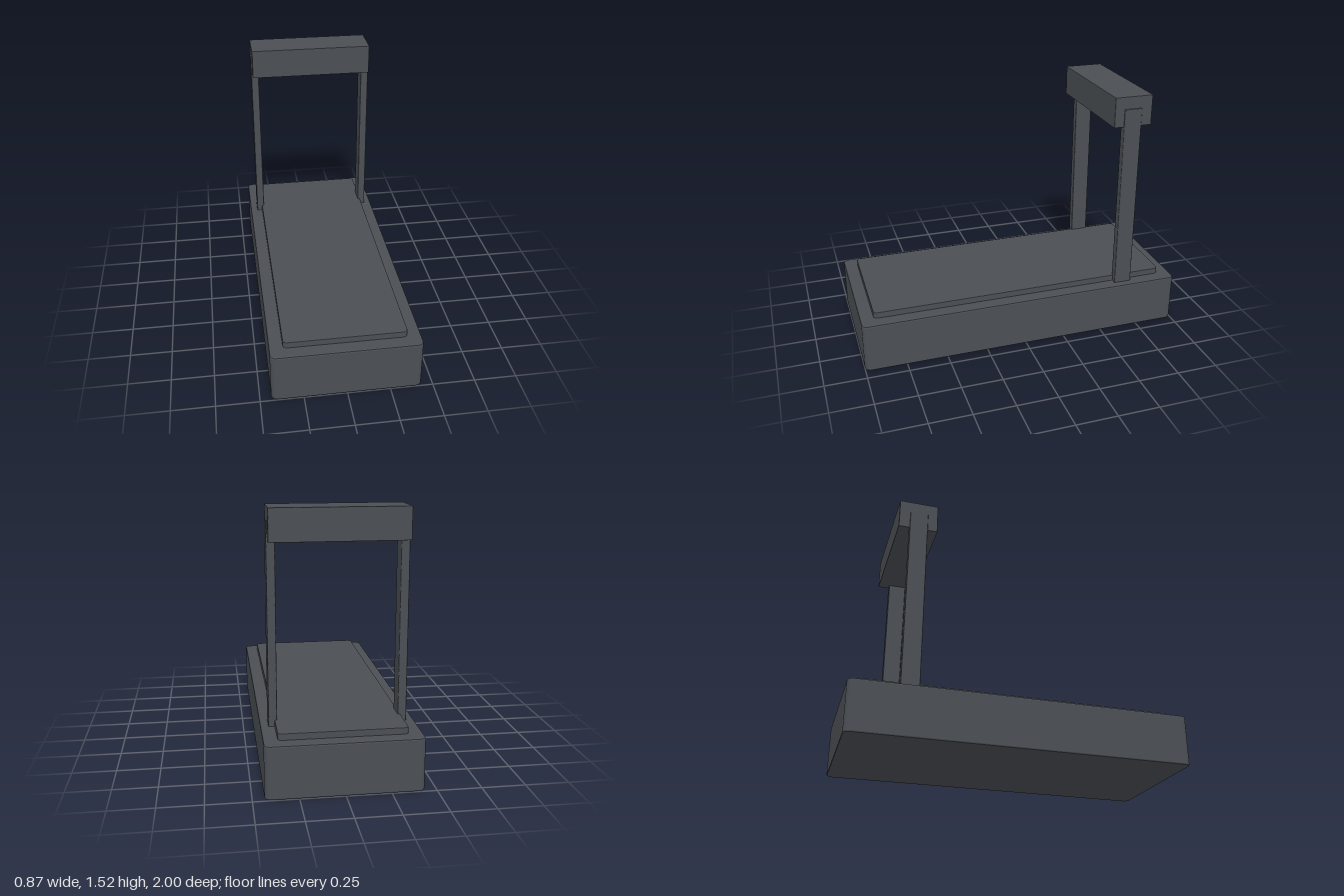
import * as THREE from 'three';

const charcoal = new THREE.MeshStandardMaterial({ color: 0x4b4f54 });
charcoal.name = 'charcoal';

// Upright slab with rounded vertical corners and a small bevel on its top and bottom rims
function slab(name, width, depth, y0, y1, radius, bevel) {
  const w = width / 2 - bevel, d = depth / 2 - bevel, r = radius - bevel;
  const shape = new THREE.Shape();
  shape.moveTo(-w + r, -d);
  shape.lineTo(w - r, -d);
  shape.absarc(w - r, -d + r, r, -Math.PI / 2, 0);
  shape.lineTo(w, d - r);
  shape.absarc(w - r, d - r, r, 0, Math.PI / 2);
  shape.lineTo(-w + r, d);
  shape.absarc(-w + r, d - r, r, Math.PI / 2, Math.PI);
  shape.lineTo(-w, -d + r);
  shape.absarc(-w + r, -d + r, r, Math.PI, Math.PI * 1.5);
  const geometry = new THREE.ExtrudeGeometry(shape, {
    depth: y1 - y0 - 2 * bevel,
    bevelEnabled: true, bevelThickness: bevel, bevelSize: bevel, bevelSegments: 2,
    curveSegments: 5,
  });
  geometry.rotateX(-Math.PI / 2);
  geometry.translate(0, y0 + bevel, 0);
  const mesh = new THREE.Mesh(geometry, charcoal);
  mesh.name = name;
  return mesh;
}

export function createModel() {
  const model = new THREE.Group();
  model.name = 'treadmill';

  // Deck and the running belt lying on it
  model.add(slab('base', 0.87, 2, 0, 0.303, 0.035, 0.009));
  model.add(slab('runningBelt', 0.712, 1.84, 0.295, 0.34, 0.025, 0.004));

  // Mirrored uprights, standing slightly proud of the console ends
  for (const side of [1, -1]) {
    const post = slab(side > 0 ? 'leftPost' : 'rightPost', 0.049, 0.109, 0.29, 1.442, 0.006, 0.002);
    post.position.set(side * 0.3655, 0, -0.657);
    model.add(post);
  }

  // Console bar across the top
  const bar = slab('console', 0.766, 0.236, 1.335, 1.516, 0.005, 0.002);
  bar.position.z = -0.66;
  model.add(bar);

  return model;
}
